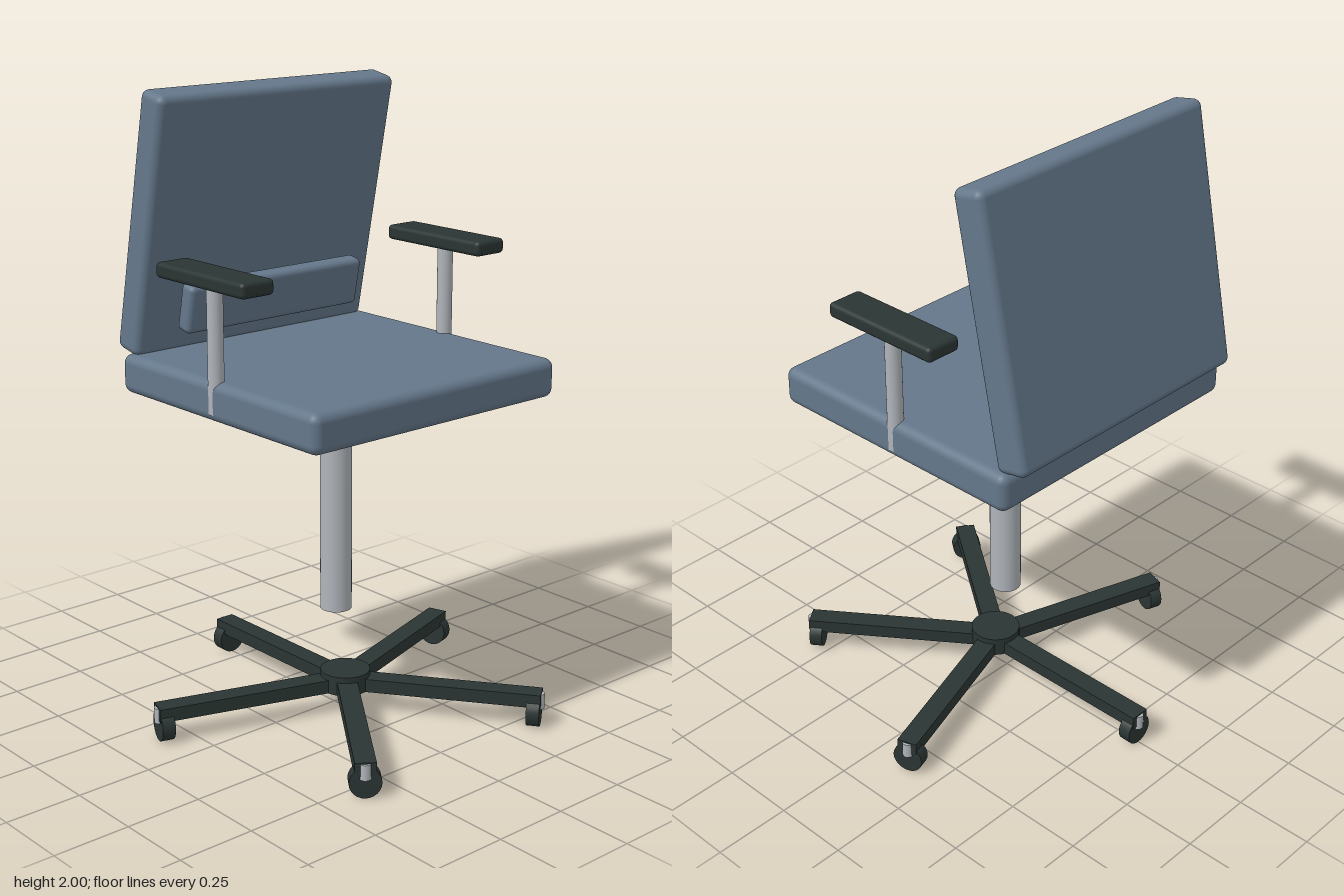
import * as THREE from 'three';
import { RoundedBoxGeometry } from 'three/addons/geometries/RoundedBoxGeometry.js';

export function createModel() {
  const model = new THREE.Group();
  model.name = 'officeChair';

  const material = (name, color) => {
    const m = new THREE.MeshStandardMaterial({ color });
    m.name = name;
    return m;
  };
  const fabric = material('blue grey fabric', 0x64778a);
  const plastic = material('dark plastic', 0x2a3533);
  const metal = material('grey metal', 0xb0b5ba);

  const add = (parent, name, geometry, mat, x, y, z) => {
    const mesh = new THREE.Mesh(geometry, mat);
    mesh.name = name;
    mesh.position.set(x, y, z);
    parent.add(mesh);
    return mesh;
  };
  const cushion = (w, h, d, r) => new RoundedBoxGeometry(w, h, d, 4, r);
  const rod = (r, h, sides = 32) => new THREE.CylinderGeometry(r, r, h, sides);

  // Cushions; the backrest and its support share one tilt
  const tilt = 0.2;
  add(model, 'seat', cushion(0.985, 0.125, 0.936, 0.03), fabric, 0, 1.113, 0.014);
  add(model, 'backrest', cushion(0.94, 0.84, 0.11, 0.025), fabric, 0, 1.585, -0.374).rotation.x = tilt;
  add(model, 'lumbarSupport', cushion(0.7, 0.158, 0.062, 0.018), fabric, 0, 1.322, -0.307).rotation.x = tilt;

  // Armrests on posts that sink into the seat sides
  for (const [side, s] of [['left', 1], ['right', -1]]) {
    add(model, side + 'ArmPost', rod(0.025, 0.4, 24), metal, s * 0.47, 1.275, 0.006);
    add(model, side + 'ArmPad', cushion(0.12, 0.048, 0.42, 0.014), plastic, s * 0.47, 1.486, 0.003);
  }

  // Gas lift column and collar
  add(model, 'column', rod(0.051, 0.64), metal, 0, 0.655, 0.007);
  add(model, 'columnCollar', rod(0.074, 0.07), metal, 0, 0.983, 0.007);

  // Five-star base, one leg pointing straight back
  const base = new THREE.Group();
  base.name = 'base';
  base.position.z = 0.053;
  model.add(base);
  add(base, 'hub', rod(0.081, 0.063), plastic, 0, 0.1035, 0);
  for (let i = 0; i < 5; i++) {
    const leg = new THREE.Group();
    leg.name = 'leg' + (i + 1);
    leg.rotation.y = Math.PI + (i * Math.PI * 2) / 5;
    base.add(leg);
    add(leg, 'legBar', new THREE.BoxGeometry(0.066, 0.044, 0.641), plastic, 0, 0.094, 0.3205);
    add(leg, 'casterStem', rod(0.018, 0.05, 16), metal, 0, 0.087, 0.633);
    add(leg, 'casterWheel', rod(0.05, 0.042, 24), plastic, 0, 0.05, 0.618).rotation.x = Math.PI / 2;
  }
  return model;
}
